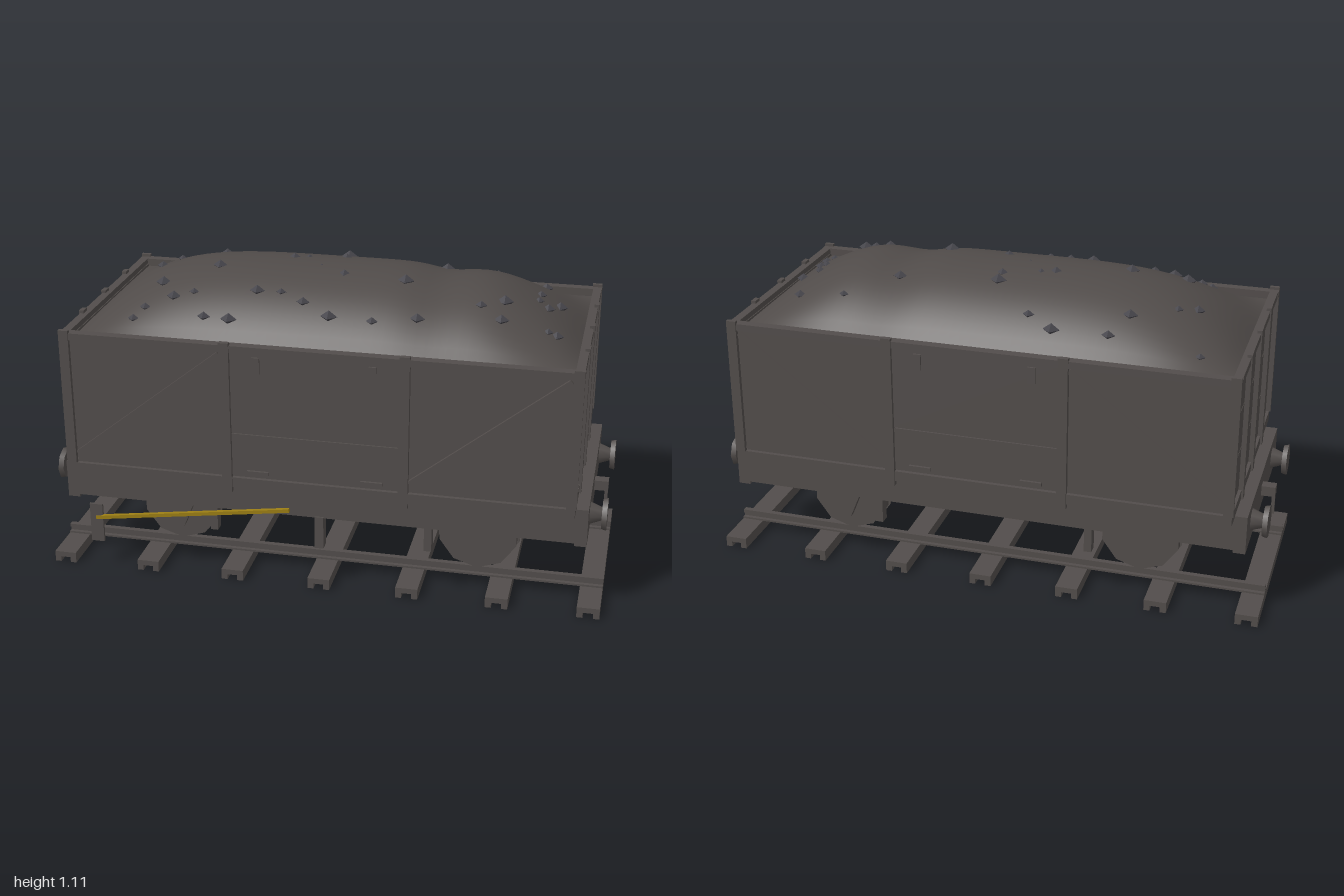
import * as THREE from 'three';

const iron = new THREE.MeshStandardMaterial({ color: 0x524d4b });
iron.name = 'dark iron';
const coalMat = new THREE.MeshStandardMaterial({ color: 0x504b49, side: THREE.DoubleSide });
coalMat.name = 'coal';
const lumpMat = new THREE.MeshStandardMaterial({ color: 0x45444a });
lumpMat.name = 'coal lump';
const yellow = new THREE.MeshStandardMaterial({ color: 0x9a7d14 });
yellow.name = 'lever yellow';

const SIDES = [-1, 1];

function add(parent, name, geo, mat = iron) {
  const mesh = new THREE.Mesh(geo, mat);
  mesh.name = name;
  parent.add(mesh);
  return mesh;
}

// Box given by its low and high limits on each axis
function box(parent, name, x0, x1, y0, y1, z0, z1, mat) {
  const geo = new THREE.BoxGeometry(Math.abs(x1 - x0), y1 - y0, Math.abs(z1 - z0));
  geo.translate((x0 + x1) / 2, (y0 + y1) / 2, (z0 + z1) / 2);
  return add(parent, name, geo, mat);
}

// Straight bar between two points in a plane of constant z
function bar(parent, name, [xa, ya], [xb, yb], z, width, depth, mat) {
  const mesh = add(parent, name, new THREE.BoxGeometry(Math.hypot(xb - xa, yb - ya), width, depth), mat);
  mesh.position.set((xa + xb) / 2, (ya + yb) / 2, z);
  mesh.rotation.z = Math.atan2(yb - ya, xb - xa);
  return mesh;
}

function extrude(points, depth) {
  const shape = new THREE.Shape(points.map(([x, y]) => new THREE.Vector2(x, y)));
  return new THREE.ExtrudeGeometry(shape, { depth, bevelEnabled: false }).translate(0, 0, -depth / 2);
}

function coalHeight(x, z) {
  const edge = (t, p) => Math.max(0, 1 - Math.abs(t) ** p);
  const dip = 0.02 * Math.exp(-(((x - 0.37) / 0.09) ** 2)) - 0.01 * Math.exp(-(((x - 0.57) / 0.1) ** 2));
  return 0.9 + (0.2 - dip) * edge(x / 0.87, 4) * edge(z / 0.41, 2.3);
}

function buildTrack() {
  const track = new THREE.Group();
  track.name = 'track';
  // Sleepers hollowed out underneath
  const channel = [[-0.04, 0], [-0.018, 0], [-0.018, 0.02], [0.018, 0.02], [0.018, 0], [0.04, 0], [0.04, 0.04], [-0.04, 0.04]];
  for (let i = -3; i <= 3; i++) add(track, 'sleeper', extrude(channel, 0.785)).position.x = i * 0.32;
  for (const s of SIDES) {
    const z = s * 0.225;
    box(track, 'railFoot', -1, 1, 0.04, 0.047, z - 0.018, z + 0.018);
    box(track, 'railWeb', -1, 1, 0.047, 0.06, z - 0.004, z + 0.004);
    box(track, 'railHead', -1, 1, 0.06, 0.073, z - 0.01, z + 0.01);
  }
  return track;
}

function buildChassis() {
  const g = new THREE.Group();
  g.name = 'chassis';
  for (const s of SIDES) {
    box(g, 'soleBar', -0.9, 0.9, 0.275, 0.405, s * 0.33, s * 0.37);
    box(g, 'headstock', s * 0.895, s * 0.938, 0.265, 0.405, -0.37, 0.37);
    box(g, 'crossMember', s * 0.28, s * 0.32, 0.32, 0.405, -0.33, 0.33);

    // Buffers and coupling
    for (const t of SIDES) {
      const buffer = new THREE.Group();
      buffer.name = 'buffer';
      const shank = add(buffer, 'bufferShank', new THREE.CylinderGeometry(0.024, 0.042, 0.045, 8).toNonIndexed());
      shank.position.y = 0.02;
      add(buffer, 'bufferHead', new THREE.CylinderGeometry(0.06, 0.055, 0.018, 8)).position.y = 0.051;
      buffer.rotation.z = -s * Math.PI / 2;
      buffer.position.set(s * 0.938, 0.338, t * 0.25);
      g.add(buffer);
    }
    box(g, 'couplingHook', s * 0.938, s * 0.988, 0.315, 0.352, -0.02, 0.02);
    box(g, 'couplingLink', s * 0.975, s * 0.987, 0.24, 0.32, -0.005, 0.005);

    // Wheelset with axle guards and brake blocks
    const axle = add(g, 'axle', new THREE.CylinderGeometry(0.013, 0.013, 0.66, 8).rotateX(Math.PI / 2));
    axle.position.set(s * 0.55, 0.222, 0);
    for (const t of SIDES) {
      const wheel = add(g, 'wheel', new THREE.CylinderGeometry(0.145, 0.145, 0.032, 10).rotateX(Math.PI / 2));
      wheel.position.set(s * 0.55, 0.217, t * 0.226);
      const flange = add(g, 'wheelFlange', new THREE.CylinderGeometry(0.152, 0.152, 0.008, 10).rotateX(Math.PI / 2));
      flange.position.set(s * 0.55, 0.222, t * 0.209);
      const guard = extrude([[-0.045, 0.182], [0.045, 0.182], [0.085, 0.28], [-0.085, 0.28]], 0.025);
      add(g, 'axleGuard', guard).position.set(s * 0.55, 0, t * 0.345);
      box(g, 'brakeBlock', s * 0.375, s * 0.402, 0.185, 0.28, t * 0.33, t * 0.368);
    }
  }

  // Brake gear on the front side
  box(g, 'brakeHanger', -0.016, 0.016, 0.157, 0.28, 0.333, 0.376);
  box(g, 'leverGuide', -0.853, -0.805, 0.1, 0.25, 0.378, 0.388);
  bar(g, 'brakeLever', [-0.83, 0.197], [-0.105, 0.302], 0.386, 0.013, 0.014, yellow);
  return g;
}

function buildBody() {
  const g = new THREE.Group();
  g.name = 'body';
  box(g, 'floor', -0.895, 0.895, 0.402, 0.44, -0.445, 0.445);
  for (const s of SIDES) {
    // Long side
    box(g, 'sideWall', -0.865, 0.865, 0.44, 0.91, s * 0.418, s * 0.431);
    box(g, 'sideTopRail', -0.9, 0.9, 0.905, 0.93, s * 0.41, s * 0.445);
    for (const t of SIDES) {
      box(g, 'sidePost', t * 0.293, t * 0.328, 0.385, 0.94, s * 0.431, s * 0.45);
      box(g, 'cornerPost', t * 0.865, t * 0.9, 0.44, 0.94, s * 0.435, s * 0.45);
      box(g, 'doorLatch', t * 0.188, t * 0.215, 0.835, 0.893, s * 0.431, s * 0.444);
      box(g, 'doorHinge', t * 0.162, t * 0.24, 0.457, 0.47, s * 0.431, s * 0.446);
      const x = t * 0.595;
      bar(g, 'diagonalBrace', [x - 0.265, 0.475], [x + 0.265, 0.895], s * 0.436, 0.02, 0.012);
    }
    box(g, 'doorLower', -0.293, 0.293, 0.445, 0.604, s * 0.43, s * 0.437);
    box(g, 'doorUpper', -0.293, 0.293, 0.608, 0.905, s * 0.43, s * 0.437);

    // End wall of three spaced planks
    for (const [y0, y1] of [[0.445, 0.603], [0.608, 0.766], [0.771, 0.91]]) {
      box(g, 'endPlank', s * 0.865, s * 0.885, y0, y1, -0.412, 0.412);
    }
    box(g, 'endTopRail', s * 0.868, s * 0.898, 0.905, 0.93, -0.445, 0.445);
    for (const z of [-0.225, 0, 0.225]) {
      box(g, 'endPost', s * 0.885, s * 0.902, 0.402, 0.94, z - 0.017, z + 0.017);
    }
  }
  return g;
}

function buildLoad() {
  const g = new THREE.Group();
  g.name = 'coalLoad';
  const mound = new THREE.PlaneGeometry(1.74, 0.83, 48, 28).rotateX(-Math.PI / 2);
  const p = mound.attributes.position;
  for (let i = 0; i < p.count; i++) p.setY(i, coalHeight(p.getX(i), p.getZ(i)));
  mound.computeVertexNormals();
  add(g, 'coalMound', mound, coalMat);

  // Loose lumps, as x and z positions
  const spots = [
    [-0.74, -0.315], [-0.43, -0.315], [-0.235, -0.32], [-0.145, -0.28], [-0.485, -0.23], [-0.63, -0.135],
    [-0.69, -0.085], [0, -0.15], [0, -0.1], [0.36, -0.15], [0.53, -0.265], [0.71, -0.235], [-0.18, -0.05],
    [-0.13, -0.065], [-0.425, 0.065], [-0.065, 0.025], [0.03, 0.085], [0.25, 0.1], [0.705, -0.06],
    [0.775, -0.055], [0.705, 0.005], [0.74, 0.03], [0.6, 0.135], [0.525, 0.19], [0.6, 0.235], [0.755, 0.195],
    [0.785, 0.19], [-0.61, 0.15], [-0.64, 0.275], [-0.545, 0.24], [-0.475, 0.225], [-0.415, 0.32],
    [-0.325, 0.325], [-0.67, 0.32], [-0.25, 0.215], [-0.165, 0.215], [-0.08, 0.25], [0.02, 0.295],
    [0.17, 0.3], [0.32, 0.27],
  ];
  spots.forEach(([x, z], i) => {
    const r = 0.018 + 0.012 * ((i * 7) % 5) / 4;
    const lump = add(g, 'coalLump', new THREE.OctahedronGeometry(r), lumpMat);
    lump.scale.y = 0.75;
    lump.position.set(x, Math.min(coalHeight(x, z), 1.09), z);
  });
  return g;
}

export function createModel() {
  const wagon = new THREE.Group();
  wagon.name = 'coalWagon';
  wagon.add(buildTrack(), buildChassis(), buildBody(), buildLoad());
  return wagon;
}
